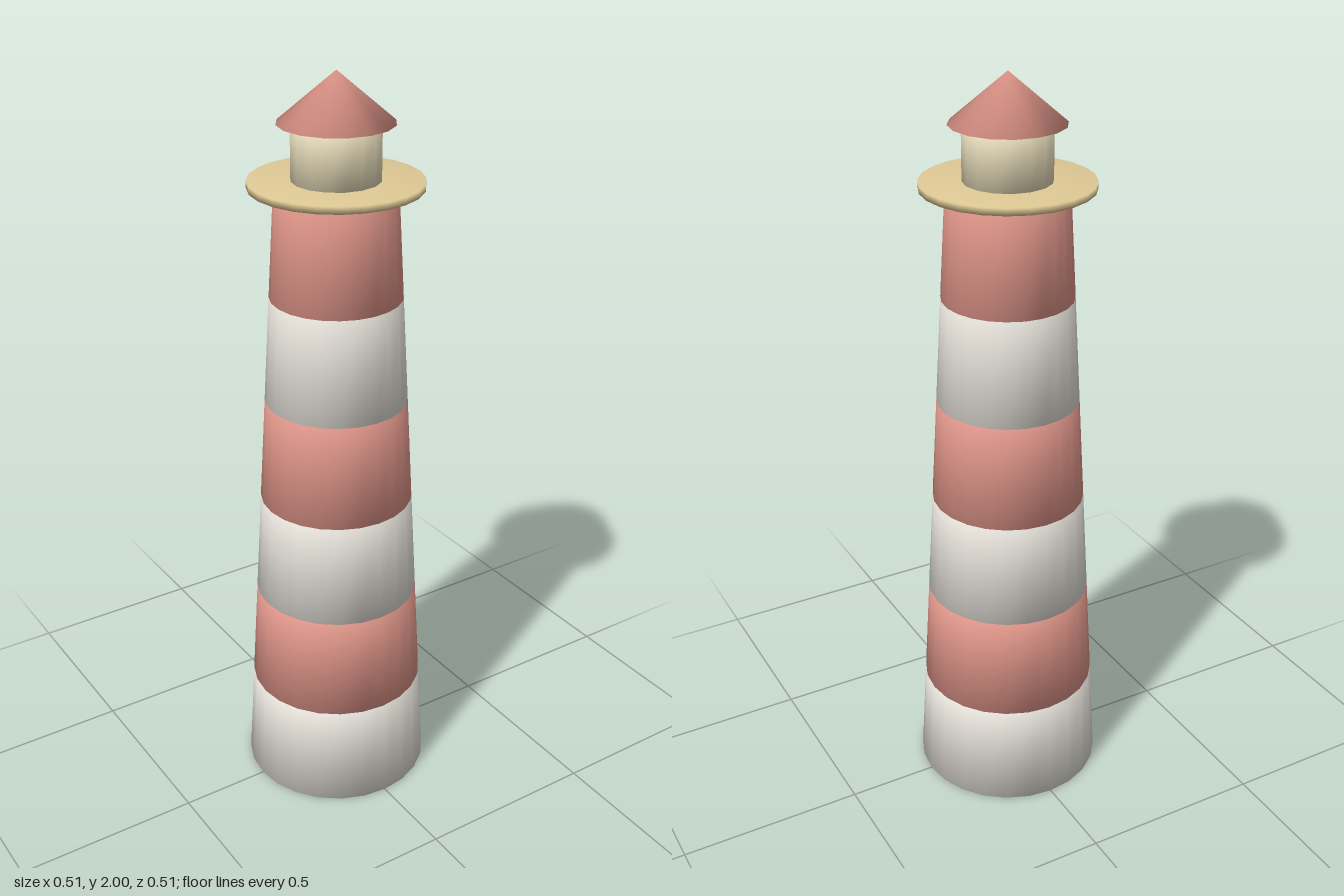
import * as THREE from 'three';
import { mergeVertices } from 'three/addons/utils/BufferGeometryUtils.js';

function material(name, color) {
  const m = new THREE.MeshStandardMaterial({ color });
  m.name = name;
  return m;
}

// Closed frustum standing on y0, with normals smoothed over its rims
function frustum(name, mat, rBottom, rTop, y0, y1, sides) {
  let geo = new THREE.CylinderGeometry(rTop, rBottom, y1 - y0, sides);
  geo.deleteAttribute('normal');
  geo.deleteAttribute('uv');
  geo = mergeVertices(geo, 1e-5);
  geo.computeVertexNormals();
  const mesh = new THREE.Mesh(geo, mat);
  mesh.name = name;
  mesh.position.y = (y0 + y1) / 2;
  return mesh;
}

export function createModel() {
  const white = material('white paint', 0xe6e2da);
  const red = material('red paint', 0xe0968a);
  const sand = material('sand gallery', 0xe0ca96);
  const cream = material('cream lantern', 0xe6dcba);

  const model = new THREE.Group();
  model.name = 'lighthouse';

  // Tapering tower of alternating bands
  const tower = new THREE.Group();
  tower.name = 'tower';
  const bands = 6, towerTop = 1.715;
  const radius = (t) => THREE.MathUtils.lerp(0.255, 0.156, t);
  for (let i = 0; i < bands; i++) {
    const a = i / bands, b = (i + 1) / bands;
    tower.add(frustum(`towerBand${i + 1}`, i % 2 ? red : white,
      radius(a), radius(b), a * towerTop, b * towerTop, 24));
  }
  model.add(tower);

  // Gallery, lantern room and roof
  model.add(frustum('gallery', sand, 0.222, 0.222, towerTop, 1.734, 24));
  model.add(frustum('lanternRoom', cream, 0.114, 0.114, 1.734, 1.874, 16));
  model.add(frustum('roof', red, 0.148, 0, 1.874, 2, 16));
  return model;
}
